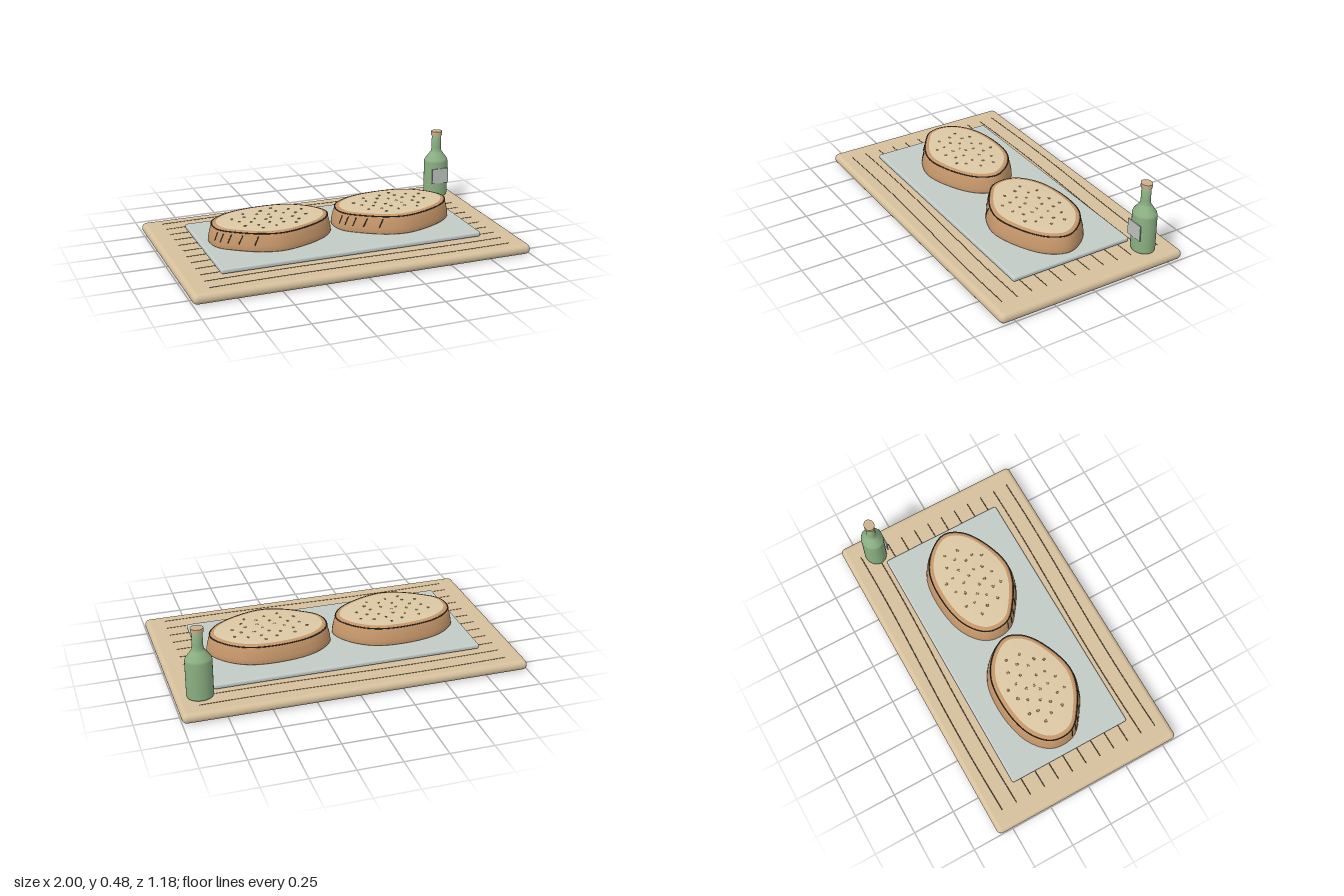
import * as THREE from 'three';
import { RoundedBoxGeometry } from 'three/addons/geometries/RoundedBoxGeometry.js';

const mat = (name, color, side = THREE.FrontSide) => {
  const m = new THREE.MeshStandardMaterial({ color, side });
  m.name = name;
  return m;
};

// Outline of a bread half, seen from above
const outline = new THREE.CatmullRomCurve3([
  [-0.364, -0.016], [-0.342, -0.107], [-0.235, -0.198], [-0.048, -0.243], [0.166, -0.226],
  [0.30, -0.134], [0.362, -0.016], [0.326, 0.085], [0.22, 0.172], [0.005, 0.246],
  [-0.128, 0.222], [-0.262, 0.142], [-0.342, 0.068],
].map(([x, z]) => new THREE.Vector3(x, 0, z)), true);

// Point on the outline, pulled inwards by d, at height y
const rimPoint = (t, d, y) => {
  const p = outline.getPoint(t);
  return new THREE.Vector3(p.x * (1 - d / 0.364), y, p.z * (1 - d / 0.246));
};

// Closed body from rings [inset, height], capped by centre points
function loft(rings, topY, n = 52) {
  const pos = [], idx = [];
  rings.forEach(([d, y]) => {
    for (let j = 0; j < n; j++) pos.push(...rimPoint(j / n, d, y).toArray());
  });
  const bottom = rings.length * n, top = bottom + 1, last = (rings.length - 1) * n;
  pos.push(0, rings[0][1], 0, 0, topY, 0);
  for (let j = 0; j < n; j++) {
    const k = (j + 1) % n;
    for (let i = 0; i < last; i += n) idx.push(i + k, i + j, i + n + j, i + k, i + n + j, i + n + k);
    idx.push(j, k, bottom, last + k, last + j, top);
  }
  const g = new THREE.BufferGeometry();
  g.setAttribute('position', new THREE.Float32BufferAttribute(pos, 3));
  g.setIndex(idx);
  g.computeVertexNormals();
  return g;
}

export function createModel() {
  const root = new THREE.Group();
  root.name = 'breadBoardSet';
  const wood = mat('pale wood', 0xd6c09c);
  const grain = mat('dark grain', 0x6b5038);
  const slate = mat('pale grey tray', 0xc2cbc7);
  const crustMat = mat('brown crust', 0xc6976a);
  const crumbMat = mat('cream crumb', 0xdcc8a4);
  const seedMat = mat('seed brown', 0xb08a60);
  const scoreMat = mat('dark score', 0x3c3a36);
  const glass = mat('green glass', 0x8bb083);
  const labelMat = mat('label grey', 0xbcc2be);
  const corkMat = mat('tan cap', 0xcdb08c);

  const add = (parent, name, geometry, material, x = 0, y = 0, z = 0) => {
    const m = new THREE.Mesh(geometry, material);
    m.name = name;
    m.position.set(x, y, z);
    parent.add(m);
    return m;
  };

  // Board and tray
  add(root, 'board', new RoundedBoxGeometry(2, 0.06, 1.176, 4, 0.029), wood, 0, 0.03, -0.002);
  add(root, 'tray', new RoundedBoxGeometry(1.566, 0.03, 0.756, 3, 0.012), slate, -0.002, 0.08, -0.002);

  // Wavy grain lines along the board
  for (let i = 0; i < 12; i++) {
    const z = -0.507 + i * 0.0922;
    const pts = [];
    for (let k = 0; k <= 8; k++) {
      const x = -0.89 + k * 0.2225;
      pts.push(new THREE.Vector3(x, 0.0595, z - 0.009 * Math.sin((x + 0.9) * 3.1)));
    }
    add(root, 'grainLine', new THREE.TubeGeometry(new THREE.CatmullRomCurve3(pts), 32, 0.0025, 5), grain);
  }

  // Bread halves
  const crust = loft([[0.006, 0.095], [0, 0.102], [0.003, 0.13], [0.011, 0.165], [0.019, 0.192],
    [0.026, 0.203], [0.036, 0.207], [0.05, 0.205]], 0.203);
  const crumb = loft([[0.047, 0.2], [0.047, 0.2075]], 0.209);
  const seedGeo = new THREE.SphereGeometry(0.0085, 8, 6);
  const rimCurve = new THREE.CatmullRomCurve3(
    Array.from({ length: 40 }, (_, i) => rimPoint(i / 40, 0.021, 0.199)), true);
  const rimGeo = new THREE.TubeGeometry(rimCurve, 80, 0.0035, 5, true);
  let seed = 11;
  const rnd = () => (seed = (seed * 16807) % 2147483647) / 2147483647;

  [-0.374, 0.378].forEach((x) => {
    const bread = new THREE.Group();
    bread.name = 'breadHalf';
    bread.position.x = x;
    root.add(bread);
    add(bread, 'crust', crust, crustMat);
    add(bread, 'crumb', crumb, crumbMat);
    add(bread, 'rimLine', rimGeo, scoreMat);

    // Seeds scattered over the crumb
    for (let i = 0; i < 28; i++) {
      const a = i * 2.4, r = Math.sqrt((i + rnd()) / 28);
      const s = add(bread, 'seed', seedGeo, seedMat,
        0.24 * r * Math.cos(a), 0.208, 0.16 * r * Math.sin(a) - 0.01);
      s.scale.set(0.8 + 0.4 * rnd(), 0.5, 0.8 + 0.3 * rnd());
    }

    // Slanted scores at the left end of the crust
    [0.79, 0.835, 0.875, 0.91, 0.945].forEach((t) => {
      const path = new THREE.CatmullRomCurve3([
        rimPoint(t, 0.003, 0.135), rimPoint(t - 0.005, 0.009, 0.16), rimPoint(t - 0.01, 0.016, 0.185)]);
      add(bread, 'score', new THREE.TubeGeometry(path, 6, 0.003, 5), scoreMat);
    });
  });

  // Bottle, slightly oval
  const bottle = new THREE.Group();
  bottle.name = 'bottle';
  bottle.position.set(0.866, 0.06, -0.411);
  bottle.scale.x = 1.16;
  root.add(bottle);
  const profile = [[0, 0], [0.054, 0], [0.062, 0.005], [0.0655, 0.016], [0.0655, 0.225], [0.062, 0.24],
    [0.034, 0.284], [0.028, 0.294], [0.026, 0.32], [0.026, 0.4], [0, 0.4]];
  add(bottle, 'glassBody', new THREE.LatheGeometry(profile.map(([r, y]) => new THREE.Vector2(r, y)), 28), glass);
  add(bottle, 'cap', new THREE.CylinderGeometry(0.031, 0.03, 0.026, 24), corkMat, 0, 0.407, 0);
  add(bottle, 'label', new THREE.BoxGeometry(0.094, 0.095, 0.006), labelMat, 0, 0.142, 0.066);

  return root;
}
